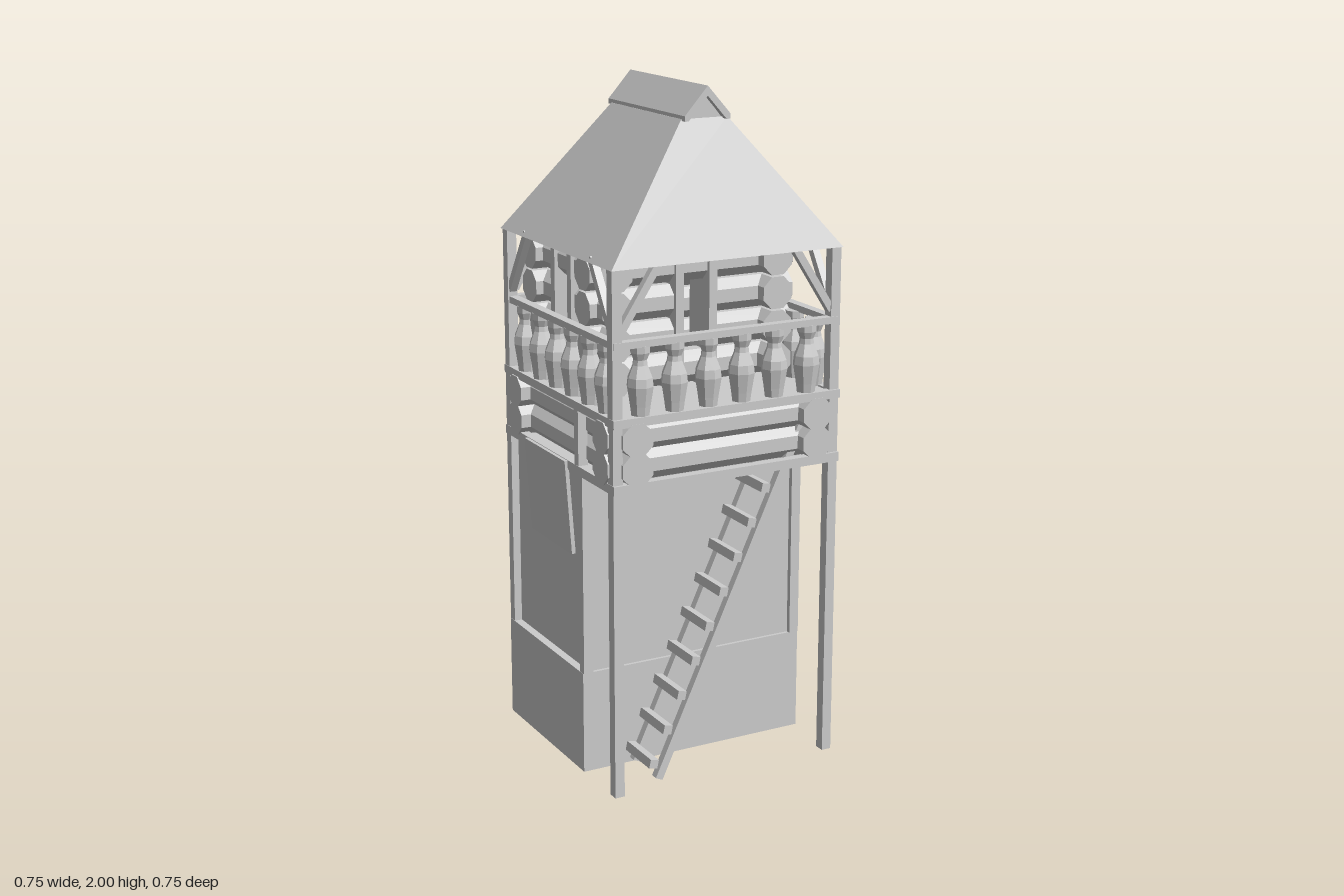
import * as THREE from 'three';

const mat = new THREE.MeshStandardMaterial({ color: 0xcccccc, flatShading: true });
const matDouble = new THREE.MeshStandardMaterial({ color: 0xcccccc, flatShading: true, side: THREE.DoubleSide });

export function createModel() {
  const model = new THREE.Group();

  const add = (name, geo, x = 0, y = 0, z = 0, parent = model, m = mat) => {
    const mesh = new THREE.Mesh(geo, m);
    mesh.name = name;
    mesh.position.set(x, y, z);
    parent.add(mesh);
    return mesh;
  };
  const group = (name) => {
    const g = new THREE.Group();
    g.name = name;
    model.add(g);
    return g;
  };
  // box given by its limits
  const box = (name, x0, x1, y0, y1, z0, z1, parent) =>
    add(name, new THREE.BoxGeometry(x1 - x0, y1 - y0, z1 - z0),
      (x0 + x1) / 2, (y0 + y1) / 2, (z0 + z1) / 2, parent);
  // square bar between two points
  const bar = (name, a, b, w, d, parent) => {
    const p = new THREE.Vector3(...a), q = new THREE.Vector3(...b);
    const mesh = add(name, new THREE.BoxGeometry(w, p.distanceTo(q), d), 0, 0, 0, parent);
    mesh.position.copy(p).add(q).multiplyScalar(0.5);
    mesh.quaternion.setFromUnitVectors(new THREE.Vector3(0, 1, 0), q.sub(p).normalize());
    return mesh;
  };
  // log along x or z
  const log = (axis, from, to, y, side, parent) => {
    const geo = new THREE.CylinderGeometry(0.051, 0.051, to - from, 8);
    geo.rotateY(Math.PI / 8);
    const mid = (from + to) / 2;
    if (axis === 'x') add('log', geo.rotateZ(Math.PI / 2), mid, y, side, parent);
    else add('log', geo.rotateX(Math.PI / 2), side, y, mid, parent);
  };

  // Plinth, hollow and open underneath
  const plinth = new THREE.BoxGeometry(0.73, 0.31, 0.515);
  const index = Array.from(plinth.index.array);
  index.splice(18, 6);
  plinth.setIndex(index);
  plinth.clearGroups();
  add('plinth', plinth, 0, 0.155, -0.1025, model, matDouble);

  // Shaft with its corner posts and back post
  box('shaft', -0.34, 0.34, 0.31, 0.925, -0.34, 0.145);
  const frame = group('frame');
  for (const s of [-1, 1]) {
    const x0 = s * 0.349 - 0.015, x1 = x0 + 0.03;
    box('frontPost', x0, x1, 0, 1.54, 0.325, 0.357, frame);
    box('backPost', x0, x1, 0.31, 1.54, -0.36, -0.33, frame);
    box('shaftPost', x0, x1, 0.31, 0.92, 0.132, 0.16, frame);
    box('sidePlatformPost', x0, x1, 0.92, 1.11, 0.112, 0.138, frame);
  }
  box('shaftBackPost', -0.014, 0.014, 0.31, 1.11, -0.36, -0.33, frame);

  // Side panels, leaning slightly outward at the top
  for (const s of [-1, 1]) {
    const panel = add('sidePanel', new THREE.BoxGeometry(0.012, 0.285, 0.275), s * 0.359, 0.793, -0.068);
    panel.rotation.z = -s * 0.07;
  }

  // Rings of beams: platform bottom, platform top and handrail
  for (const [name, y0, y1, r] of [['lowerBeam', 0.91, 0.937, 0.365], ['upperBeam', 1.1, 1.125, 0.365],
    ['handrail', 1.32, 1.34, 0.36]]) {
    for (const s of [-1, 1]) {
      const c = s * (r - 0.014);
      box(name, -r, r, y0, y1, c - 0.014, c + 0.014, frame);
      box(name, c - 0.014, c + 0.014, y0, y1, -r + 0.028, r - 0.028, frame);
    }
  }

  // Platform: floor on two courses of logs
  box('floor', -0.34, 0.34, 1.1, 1.12, -0.34, 0.34);
  const platform = group('platformLogs');
  for (const y of [0.975, 1.06]) {
    for (const s of [-1, 1]) {
      log('x', -0.369, 0.369, y, s * 0.287, platform);
      log('z', -0.368, 0.366, y, s * 0.291, platform);
    }
  }

  // Log cabin with a window in every wall
  const cabin = group('cabin');
  const back = -0.25, front = 0.105, mid = -0.06;
  for (const y of [1.185, 1.285, 1.385, 1.485]) {
    const split = y > 1.2 && y < 1.4;
    for (const z of [back, front]) {
      if (split) {
        log('x', -0.33, -0.04, y, z, cabin);
        log('x', 0.05, 0.33, y, z, cabin);
      } else log('x', -0.33, 0.33, y, z, cabin);
    }
    for (const x of [-0.26, 0.26]) {
      if (split) {
        log('z', -0.33, mid - 0.05, y, x, cabin);
        log('z', mid + 0.05, 0.185, y, x, cabin);
      } else log('z', -0.33, 0.185, y, x, cabin);
    }
  }
  for (const o of [-0.054, 0.054]) {
    for (const z of [back, front])
      box('windowJamb', o - 0.009, o + 0.017, 1.12, 1.54, z - 0.058, z + 0.058, cabin);
    for (const x of [-0.26, 0.26])
      box('windowJamb', x - 0.058, x + 0.058, 1.12, 1.54, mid + o - 0.013, mid + o + 0.013, cabin);
  }

  // Balusters, six on each side
  const profile = [[0, 0], [0.026, 0], [0.03, 0.03], [0.039, 0.085], [0.036, 0.11], [0.022, 0.145],
    [0.02, 0.16], [0.028, 0.18], [0.028, 0.2], [0, 0.2]].map(([r, y]) => new THREE.Vector2(r, y));
  const baluster = new THREE.LatheGeometry(profile, 8);
  const balustrade = group('balustrade');
  for (let i = 0; i < 6; i++) {
    const t = -0.268 + i * 0.107;
    for (const s of [-1, 1]) {
      add('baluster', baluster, t, 1.122, s * 0.335, balustrade);
      add('baluster', baluster, s * 0.335, 1.122, t, balustrade);
    }
  }

  // Braces under the eaves
  for (const sx of [-1, 1]) for (const sz of [-1, 1]) {
    bar('brace', [sx * 0.338, 1.36, sz * 0.343], [sx * 0.215, 1.55, sz * 0.343], 0.022, 0.022, frame);
    bar('brace', [sx * 0.349, 1.36, sz * 0.335], [sx * 0.349, 1.55, sz * 0.21], 0.022, 0.022, frame);
  }

  // Hipped roof: a box drawn in at the top
  const roof = new THREE.BoxGeometry(0.735, 0.37, 0.73);
  const p = roof.attributes.position;
  for (let i = 0; i < p.count; i++) {
    if (p.getY(i) > 0) p.setXYZ(i, Math.sign(p.getX(i)) * 0.073, p.getY(i), Math.sign(p.getZ(i)) * 0.213);
  }
  roof.computeVertexNormals();
  add('roof', roof, 0, 1.725, -0.003);

  // Ridge cap: two boards over a recessed gable
  const extrude = (points, depth) => new THREE.ExtrudeGeometry(
    new THREE.Shape(points.map(([x, y]) => new THREE.Vector2(x, y))), { depth, bevelEnabled: false });
  add('ridgeCap', extrude([[0.072, 1.905], [0.072, 1.92], [0, 2], [-0.072, 1.92], [-0.072, 1.905],
    [-0.06, 1.905], [0, 1.972], [0.06, 1.905]], 0.465), 0, 0, -0.236);
  add('ridgeGable', extrude([[-0.062, 1.9], [0.062, 1.9], [0, 1.975]], 0.425), 0, 0, -0.216);

  // Ladder up to the platform
  const ladder = group('ladder');
  const slope = 0.475 / 1.02;
  for (const z of [0.172, 0.313])
    bar('ladderRail', [-0.205, 0.012, z], [0.262, 1.02, z], 0.024, 0.024, ladder);
  for (let i = 0; i < 9; i++) {
    const y = 0.057 + i * 0.0985;
    const rung = add('rung', new THREE.BoxGeometry(0.027, 0.027, 0.15), -0.243 + y * slope, y, 0.24, ladder);
    rung.rotation.z = -Math.atan(slope) / 2;
  }

  return model;
}
